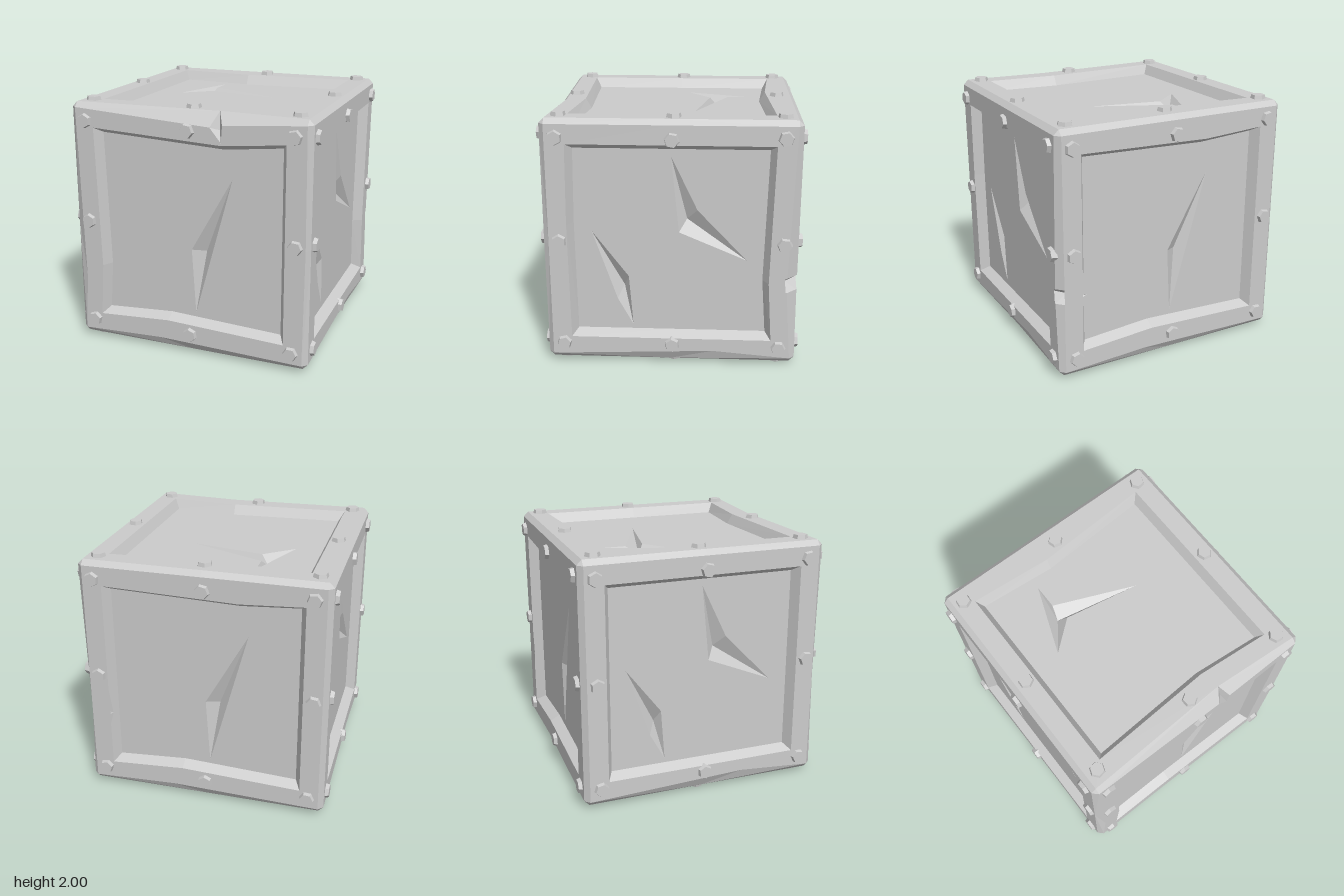
import * as THREE from 'three';

const W = 0.97;      // half size of the block
const EDGE = 0.93;   // where the bevels begin
const RIM = 0.78;    // opening of the frame
const SLOPE = 0.045; // width of the sloped wall inside the frame
const DEPTH = 0.08;  // recess of the panels

const material = new THREE.MeshStandardMaterial({ color: 0xcccccc, flatShading: true });
const V2 = (p) => new THREE.Vector2(p[0], p[1]);
const V3 = (x, y, z) => new THREE.Vector3(x, y, z);

// Collects triangles, turning each one towards the given direction
class Builder {
  constructor() { this.pos = []; }
  tri(a, b, c, dir) {
    const n = b.clone().sub(a).cross(c.clone().sub(a));
    for (const p of n.dot(dir) < 0 ? [a, c, b] : [a, b, c]) this.pos.push(p.x, p.y, p.z);
  }
  quad(a, b, c, d, dir) { this.tri(a, b, c, dir); this.tri(a, c, d, dir); }
  fan(loop, tip, dir) {
    loop.forEach((p, i) => this.tri(p, loop[(i + 1) % loop.length], tip, dir));
  }
  flat(outline, holes, place, dir) {
    const all = [outline, ...holes].flat().map(place);
    const faces = THREE.ShapeUtils.triangulateShape(outline.map(V2), holes.map((h) => h.map(V2)));
    for (const [a, b, c] of faces) this.tri(all[a], all[b], all[c], dir);
  }
  mesh(name) {
    const g = new THREE.BufferGeometry();
    g.setAttribute('position', new THREE.Float32BufferAttribute(this.pos, 3));
    g.computeVertexNormals();
    const m = new THREE.Mesh(g, material);
    m.name = name;
    return m;
  }
}

// Dents: outline and deepest point, on the panel plane
const longDent = { loop: [[0.34, 0.46], [0, -0.14], [0.03, -0.67]], tip: [0.1, -0.16] };
const sideDents = [
  { loop: [[0, 0.68], [0.06, 0.08], [0.58, -0.14], [0.2, 0.26]], tip: [0.12, 0.17] },
  { loop: [[-0.61, 0.08], [-0.42, -0.48], [-0.3, -0.7], [-0.33, -0.29]], tip: [-0.37, -0.39] },
];
const starDent = {
  loop: [[-0.32, 0.61], [-0.52, 0.08], [-0.29, 0.27], [0.29, 0.16], [-0.32, 0.42]], tip: [-0.35, 0.32],
};

// Sides run bottom, right, top, left; each bend is [position along the side, distance from centre]
const e = [[0, EDGE]], r = [[0, RIM]];
const X = V3(1, 0, 0), Y = V3(0, 1, 0), Z = V3(0, 0, 1);
const neg = (v) => v.clone().negate();
const FACES = [
  { name: 'front', u: X, v: Y, dents: [longDent],
    edge: [[[-0.25, 0.9]], [[0, 0.94]], [[0.29, 0.88], [0.28, 0.75], [0.19, 0.86]], [[-0.45, 0.9]]],
    rim: [[[-0.18, 0.74]], r, [[0.28, 0.73]], [[-0.35, 0.75]]] },
  { name: 'leftSide', u: neg(Z), v: Y, dents: sideDents,
    edge: [[[0.33, 0.88]], [[-0.37, 0.89], [-0.31, 0.75], [-0.25, 0.89]], e, e],
    rim: [r, [[-0.3, 0.75]], r, [[0.15, 0.79]]] },
  { name: 'back', u: neg(X), v: Y, dents: [longDent],
    edge: [[[-0.25, 0.9]], e, e, [[-0.25, 0.89], [-0.31, 0.75], [-0.37, 0.89]]],
    rim: [[[-0.18, 0.74]], r, [[0.28, 0.75]], r] },
  { name: 'rightSide', u: Z, v: Y, dents: sideDents,
    edge: [[[0.33, 0.88]], e, e, e], rim: [r, r, r, r] },
  { name: 'top', u: X, v: neg(Z), dents: [starDent],
    edge: [[[0.24, 0.88]], e, e, e], rim: [[[0.2, 0.73]], r, [[-0.14, 0.73]], r] },
  { name: 'bottom', u: neg(X), v: neg(Z), dents: [starDent],
    edge: [e, e, e, e], rim: [r, r, r, r] },
];

// One side as plane points: corner, bends, corner
function side(i, bends, half, inset = 0) {
  const h = half - inset;
  const at = (t, d) => [[t, -d], [d, t], [t, d], [-d, t]][i];
  const s = i < 2 ? 1 : -1;
  return [at(-s * h, h), ...bends.map(([t, d]) => at(t, d - inset)), at(s * h, h)];
}
const outline = (sides, half, inset) => sides.flatMap((b, i) => side(i, b, half, inset).slice(0, -1));
const signs = (p) => p.toArray().map((c) => (c > 0 ? '+' : '-')).join('');

export function createModel() {
  const root = new THREE.Group();
  root.name = 'crate';
  const bevel = new Builder();
  const strips = new Map();
  const corners = new Map();
  const boltGeometry = new THREE.CylinderGeometry(0.052, 0.064, 0.045, 6);
  const boltSpots = [[-0.85, 0.83], [0.01, 0.82], [0.84, 0.84], [-0.85, 0.02],
    [0.86, 0.02], [-0.84, -0.83], [0.01, -0.83], [0.84, -0.84]];

  FACES.forEach((f, fi) => {
    const n = f.u.clone().cross(f.v);
    const at = (w) => ([a, b]) =>
      V3(0, 0, 0).addScaledVector(f.u, a).addScaledVector(f.v, b).addScaledVector(n, w);
    const group = new THREE.Group();
    group.name = f.name;

    // Frame with sloped inner walls
    const frame = new Builder();
    const outer = outline(f.edge, EDGE, 0);
    const rim = outline(f.rim, RIM, 0);
    const floor = outline(f.rim, RIM, SLOPE);
    frame.flat(outer, [rim], at(W), n);
    const top = rim.map(at(W)), low = floor.map(at(W - DEPTH));
    top.forEach((p, i) => {
      const j = (i + 1) % top.length;
      frame.quad(p, top[j], low[j], low[i], n);
    });
    group.add(frame.mesh('frame'));

    // Recessed panel with dents
    const panel = new Builder();
    panel.flat(floor, f.dents.map((d) => d.loop), at(W - DEPTH), n);
    for (const d of f.dents) panel.fan(d.loop.map(at(W - DEPTH)), at(W - DEPTH - 0.07)(d.tip), n);
    group.add(panel.mesh('panel'));

    // Hexagonal bolts
    boltSpots.forEach((spot, i) => {
      const bolt = new THREE.Mesh(boltGeometry, material);
      bolt.name = 'bolt';
      bolt.position.copy(at(W + 0.0075)(spot));
      bolt.quaternion.setFromUnitVectors(Y, n);
      bolt.rotateY(i * 0.37 + fi * 0.5);
      group.add(bolt);
    });
    root.add(group);

    // Remember the sides and corners for the bevels
    f.edge.forEach((b, i) => {
      const pts = side(i, b, EDGE).map(at(W));
      const first = signs(pts[0]), last = signs(pts[pts.length - 1]);
      strips.set(first + last, pts);
      corners.set(first, [...(corners.get(first) || []), pts[0]]);
    });
  });

  // Bevelled edges, with a chipped notch where a side has three bends
  const done = new Set();
  for (const [key, a] of strips) {
    const other = key.slice(3) + key.slice(0, 3);
    if (done.has(other)) continue;
    done.add(key);
    const b = [...strips.get(other)].reverse();
    const dir = a[0].clone().add(a[a.length - 1]);
    bevel.quad(a[0], b[0], b[1], a[1], dir);
    bevel.quad(a.at(-1), b.at(-1), b.at(-2), a.at(-2), dir);
    if (a.length > 3 || b.length > 3) {
      const loop = [...a.slice(1, -1), ...b.slice(1, -1).reverse()];
      const deep = loop.reduce((s, p) => s.add(p), V3(0, 0, 0)).divideScalar(loop.length);
      deep.addScaledVector(dir.clone().normalize(), -0.045);
      bevel.fan(loop, deep, dir);
    }
  }
  for (const [a, b, c] of corners.values()) bevel.tri(a, b, c, a);
  root.add(bevel.mesh('bevels'));

  for (const part of root.children) part.position.y = 1;
  return root;
}
